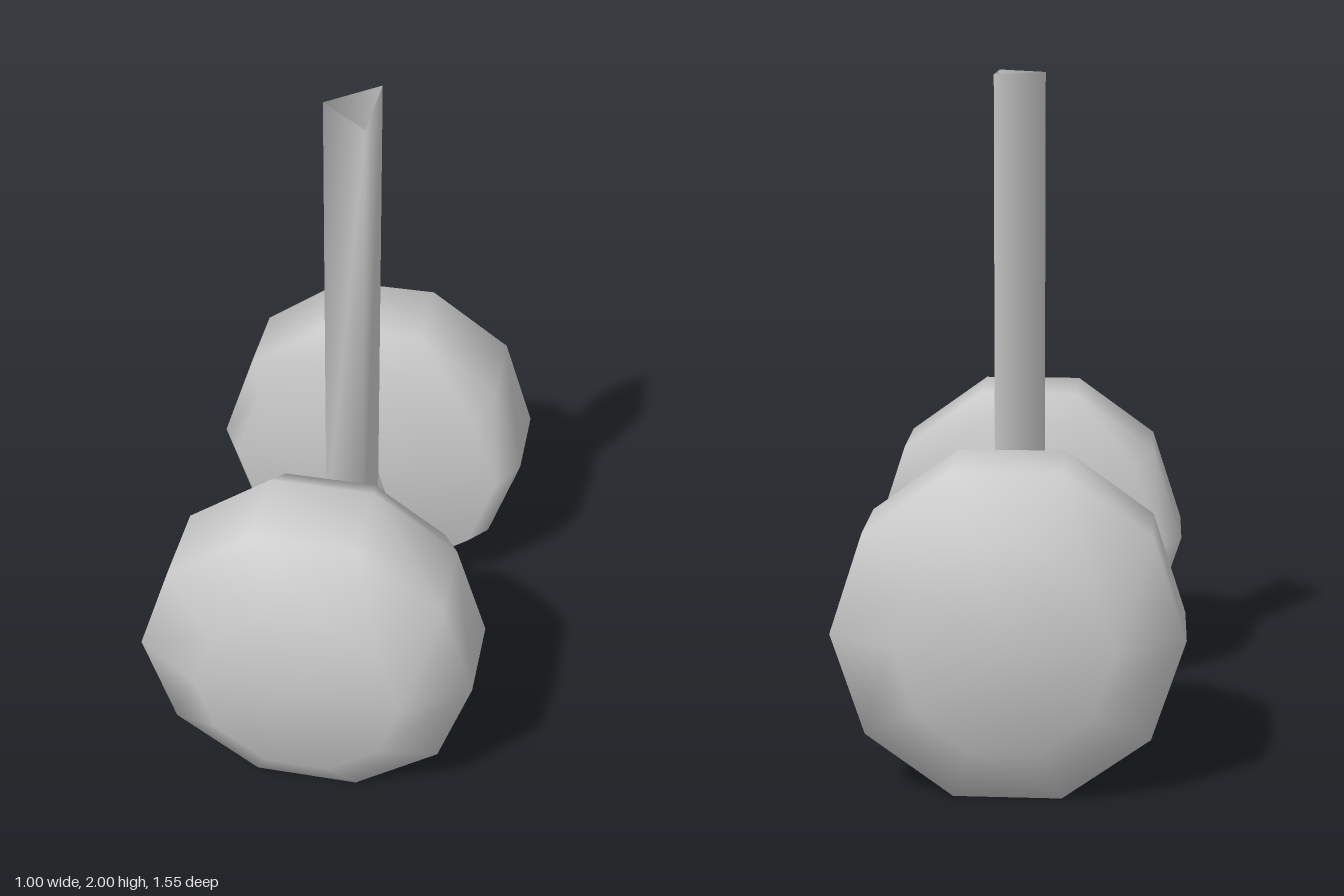
import * as THREE from 'three';
import { mergeVertices } from 'three/addons/utils/BufferGeometryUtils.js';

// Weld shared corners and shade smoothly across every edge
function smooth(geometry) {
  geometry.deleteAttribute('normal');
  geometry.deleteAttribute('uv');
  const welded = mergeVertices(geometry, 1e-4);
  welded.computeVertexNormals();
  return welded;
}

// Open three-sided tube along y, with its apex towards +z
function triangularTube(width, depth, length) {
  const tube = new THREE.CylinderGeometry(1, 1, length, 3, 1, true);
  tube.scale(width / Math.sqrt(3), 1, depth / 1.5);
  tube.translate(0, 0, -depth / 6);
  return smooth(tube);
}

export function createModel() {
  const model = new THREE.Group();
  const grey = new THREE.MeshStandardMaterial({ color: 0xcccccc });
  const greyOpen = new THREE.MeshStandardMaterial({ color: 0xcccccc, side: THREE.DoubleSide });
  const axleHeight = 0.4755;

  function add(name, geometry, material, y) {
    const mesh = new THREE.Mesh(geometry, material);
    mesh.name = name;
    mesh.position.y = y;
    model.add(mesh);
    return mesh;
  }

  // Ten-sided wheels, bevelled more on the outer face than the inner one
  const profile = [[0, 0.28], [0.435, 0.28], [0.5, 0.39], [0.5, 0.65], [0.305, 0.777], [0, 0.777]]
    .map(([r, z]) => new THREE.Vector2(r, z));
  const wheel = smooth(new THREE.LatheGeometry(profile, 10, Math.PI / 2).rotateX(Math.PI / 2));
  add('frontWheel', wheel, grey, axleHeight);
  add('backWheel', wheel, grey, axleHeight).rotation.y = Math.PI;

  // Axle with its ridge on top
  const axle = triangularTube(0.154, 0.265, 0.6).rotateX(-Math.PI / 2);
  add('axle', axle, greyOpen, 0.4825);

  // Upright strut with its ridge towards -x
  const strutLength = 2 - axleHeight;
  const strut = triangularTube(0.25, 0.144, strutLength).rotateY(-Math.PI / 2);
  add('strut', strut, greyOpen, axleHeight + strutLength / 2);

  return model;
}
